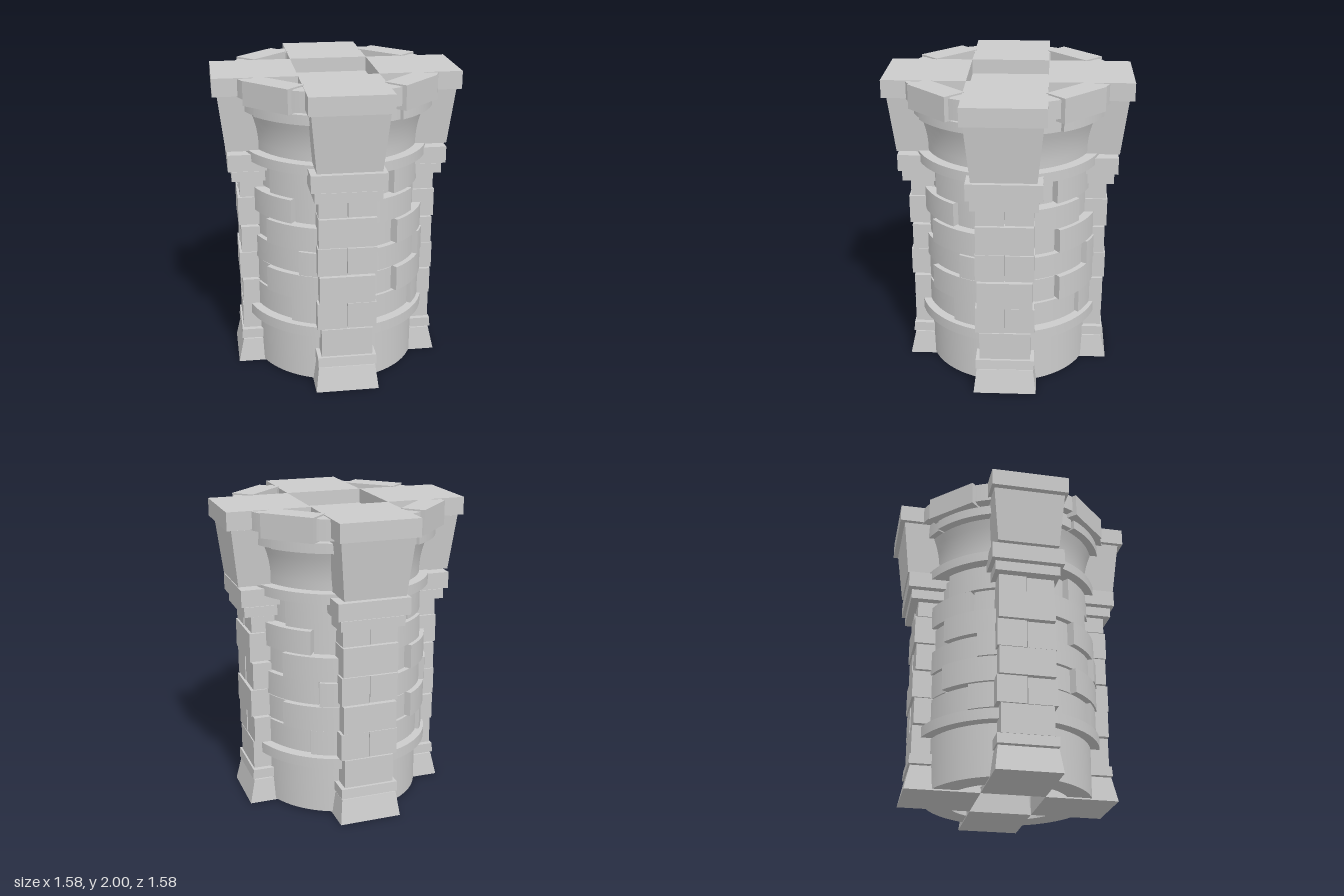
import * as THREE from 'three';
import { toCreasedNormals } from 'three/addons/utils/BufferGeometryUtils.js';

const stone = new THREE.MeshStandardMaterial({ color: 0xcccccc, side: THREE.DoubleSide });

function add(group, geometry, name) {
  const mesh = new THREE.Mesh(geometry, stone);
  mesh.name = name;
  group.add(mesh);
  return mesh;
}

// Buttress stone facing +z; the half width and outer face may change with height
function buttressStone(group, name, y0, y1, half0, half1, out0, out1, from = -1, to = 1) {
  const g = new THREE.BoxGeometry(1, 1, 1);
  const p = g.attributes.position;
  for (let i = 0; i < p.count; i++) {
    const top = p.getY(i) > 0;
    const half = top ? half1 : half0;
    const x = (p.getX(i) > 0 ? to : from) * half;
    const z = p.getZ(i) > 0 ? (top ? out1 : out0) : Math.max(half, 0.2);
    p.setXYZ(i, x, top ? y1 : y0, z);
  }
  g.computeVertexNormals();
  add(group, g, name);
}

// Curved stone between two angles (degrees from +x towards +z); outer radius r0 at the bottom, r1 at the top
function curvedStone(group, name, y0, y1, a0, a1, r0, r1 = r0, inner = 0.4) {
  const s = THREE.MathUtils.degToRad(a0), e = THREE.MathUtils.degToRad(a1);
  const shape = new THREE.Shape();
  shape.absarc(0, 0, r0, s, e, false);
  shape.absarc(0, 0, inner, e, s, true);
  shape.closePath();
  const steps = r0 === r1 ? 1 : 5;
  const g = new THREE.ExtrudeGeometry(shape, { depth: y1 - y0, steps, bevelEnabled: false, curveSegments: 10 });
  g.rotateX(Math.PI / 2).translate(0, y1, 0);
  const p = g.attributes.position;
  for (let i = 0; i < p.count; i++) {
    const x = p.getX(i), z = p.getZ(i);
    if (Math.hypot(x, z) < (inner + r0) / 2) continue;
    const t = (p.getY(i) - y0) / (y1 - y0);
    const k = 1 + (r1 / r0 - 1) * t * t;
    p.setX(i, x * k);
    p.setZ(i, z * k);
  }
  add(group, toCreasedNormals(g, 0.5), name);
}

function buildButtress() {
  const b = new THREE.Group();
  b.name = 'buttress';
  buttressStone(b, 'buttressFoot', 0, 0.16, 0.205, 0.185, 0.68, 0.645);
  buttressStone(b, 'footBand', 0.17, 0.235, 0.19, 0.19, 0.655, 0.65);
  buttressStone(b, 'lowerBlock', 0.24, 0.43, 0.165, 0.165, 0.64, 0.64);
  // Shaft courses alternate between a pair of stones and a single stone
  const courses = [
    [0.435, 0.613, 0.19, 0.64, true], [0.618, 0.8, 0.177, 0.65, false],
    [0.808, 0.992, 0.187, 0.64, true], [1.0, 1.19, 0.182, 0.65, false],
    [1.195, 1.305, 0.18, 0.64, true],
  ];
  for (const [y0, y1, half, out, split] of courses) {
    if (split) {
      buttressStone(b, 'shaftStone', y0, y1, half, half, out, out, -1, -0.015);
      buttressStone(b, 'shaftStone', y0, y1 - 0.005, half, half, out - 0.005, out - 0.005, 0.015, 1);
    } else buttressStone(b, 'shaftStone', y0, y1, half, half, out, out);
  }
  buttressStone(b, 'lowerMoulding', 1.31, 1.375, 0.21, 0.21, 0.685, 0.685);
  buttressStone(b, 'upperMoulding', 1.385, 1.495, 0.235, 0.235, 0.708, 0.708);
  buttressStone(b, 'flaredBracket', 1.51, 1.875, 0.2, 0.235, 0.715, 0.757);
  buttressStone(b, 'capStone', 1.88, 1.995, 0.255, 0.255, 0.788, 0.788);
  return b;
}

function buildWall() {
  const w = new THREE.Group();
  w.name = 'curvedWall';
  curvedStone(w, 'wallBase', 0.01, 0.345, 12, 78, 0.545);
  curvedStone(w, 'lowerBand', 0.35, 0.42, 12, 78, 0.605);
  // Courses: bottom, top, joint angle, radius on either side of the joint
  const courses = [
    [0.435, 0.6, 36, 0.585, 0.56], [0.605, 0.77, 55, 0.595, 0.555],
    [0.775, 0.935, 30, 0.6, 0.565], [0.94, 1.1, 55, 0.59, 0.545],
    [1.105, 1.265, 35, 0.535, 0.57], [1.27, 1.435, 55, 0.555, 0.515],
  ];
  for (const [y0, y1, joint, ra, rb] of courses) {
    curvedStone(w, 'wallStone', y0, y1, 12, joint - 0.6, ra);
    curvedStone(w, 'wallStone', y0, y1 - 0.005, joint + 0.6, 78, rb);
  }
  curvedStone(w, 'upperBand', 1.45, 1.515, 12, 78, 0.605);
  curvedStone(w, 'flaredWall', 1.52, 1.77, 12, 78, 0.545, 0.595);
  curvedStone(w, 'collar', 1.775, 1.838, 12, 57, 0.645);
  curvedStone(w, 'collar', 1.775, 1.87, 58, 78, 0.63);

  // Crown: one straight stone on the diagonal with a small stone at each end
  const crown = add(w, new THREE.BoxGeometry(0.355, 0.155, 0.155), 'crownStone');
  crown.position.set(0.6 * Math.SQRT1_2, 1.9225, 0.6 * Math.SQRT1_2);
  crown.rotation.y = Math.PI / 4;
  curvedStone(w, 'crownEnd', 1.875, 1.99, 61, 74, 0.68, 0.68, 0.5);
  curvedStone(w, 'crownEnd', 1.86, 1.99, 16, 29, 0.68, 0.68, 0.5);
  return w;
}

export function createModel() {
  const model = new THREE.Group();
  model.name = 'stonePillar';
  for (let i = 0; i < 4; i++) {
    const quarter = new THREE.Group();
    quarter.name = 'quarter';
    quarter.add(buildButtress(), buildWall());
    quarter.rotation.y = i * Math.PI / 2;
    model.add(quarter);
  }
  // Recessed floor seen through the openings in the top
  add(model, new THREE.CylinderGeometry(0.56, 0.56, 0.02, 32), 'recessedFloor').position.y = 1.89;
  return model;
}
